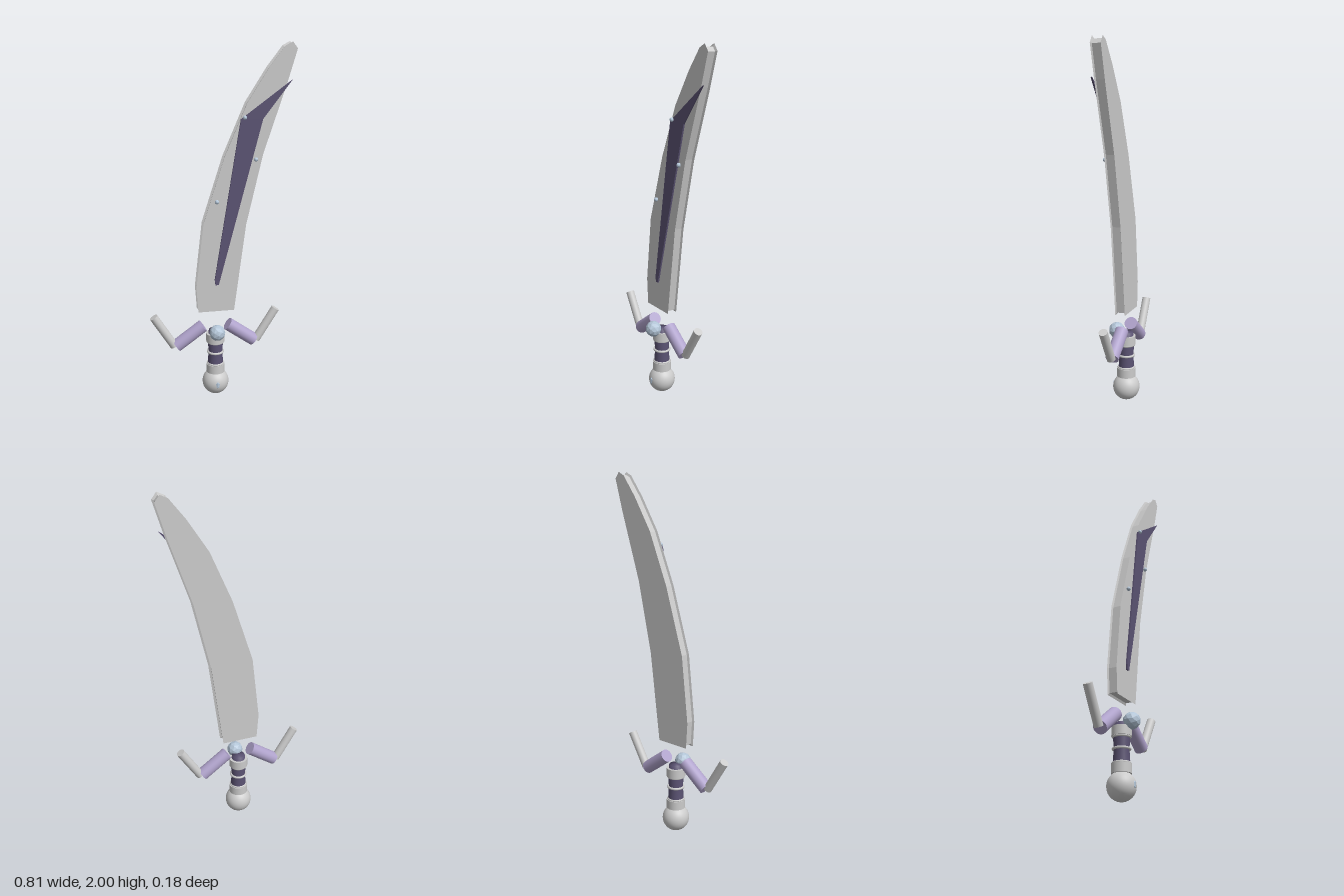
import * as THREE from 'three';

const AX = -0.033, AZ = -0.015; // axis of the hilt

const paint = (color, flatShading = false) => new THREE.MeshStandardMaterial({ color, flatShading });
const grey = paint(0xcccccc);
const dark = paint(0x5b5373);
const lilac = paint(0xb0a3cc);
const crystal = paint(0xb4c6d8, true);

const outline = (pts) => new THREE.Shape(pts.map(([x, y]) => new THREE.Vector2(x, y)));

export function createModel() {
  const model = new THREE.Group();

  const add = (name, geometry, material, x = 0, y = 0, z = 0) => {
    const mesh = new THREE.Mesh(geometry, material);
    mesh.name = name;
    mesh.position.set(x, y, z);
    model.add(mesh);
    return mesh;
  };

  // rod between two points of the plane z = AZ
  const rod = (name, a, b, radius, material) => {
    const dir = new THREE.Vector3(b[0] - a[0], b[1] - a[1], 0);
    const mesh = add(name, new THREE.CylinderGeometry(radius, radius, dir.length(), 24), material,
      (a[0] + b[0]) / 2, (a[1] + b[1]) / 2, AZ);
    mesh.quaternion.setFromUnitVectors(new THREE.Vector3(0, 1, 0), dir.normalize());
  };

  // curved blade whose edge is recessed between the two faces
  const blade = outline([
    [-0.135, 0.525], [0.07, 0.525], [0.135, 1.025], [0.225, 1.415], [0.35, 1.79],
    [0.402, 1.965], [0.375, 2.0], [0.335, 1.98], [0.25, 1.87], [0.135, 1.69],
    [0.013, 1.405], [-0.103, 1.04], [-0.145, 0.67],
  ]);
  add('blade', new THREE.ExtrudeGeometry(blade, {
    depth: 0.046, bevelEnabled: true, bevelThickness: 0.005, bevelSize: -0.012, bevelSegments: 1,
  }), grey, 0, 0, -0.038);

  // dark inlay on the front face
  const inlay = outline([
    [-0.038, 0.685], [-0.02, 0.685], [0.22, 1.605], [0.375, 1.805], [0.1, 1.605], [-0.042, 0.715],
  ]);
  add('inlay', new THREE.ExtrudeGeometry(inlay, { depth: 0.009, bevelEnabled: false }), dark, 0, 0, 0.013);

  // small studs on the blade
  for (const [x, y] of [[0.12, 1.615], [0.183, 1.39], [-0.03, 1.165]])
    add('bladeStud', new THREE.IcosahedronGeometry(0.012, 1), crystal, x, y, 0.025);

  // pommel and its stone
  add('pommel', new THREE.SphereGeometry(0.076, 32, 20), grey, AX, 0.077, AZ);
  add('pommelStone', new THREE.IcosahedronGeometry(0.03, 0), crystal, AX, 0.08, 0.038);

  // waisted grip with collars and rings
  const grip = [[0, 0.14], [0.044, 0.14], [0.044, 0.2], [0.04, 0.265], [0.044, 0.33], [0.038, 0.4], [0, 0.4]];
  add('grip', new THREE.LatheGeometry(grip.map(([r, y]) => new THREE.Vector2(r, y)), 24), dark, AX, 0, AZ);
  for (const y of [0.165, 0.355])
    add('collar', new THREE.CylinderGeometry(0.053, 0.053, 0.05, 32), grey, AX, y, AZ);
  for (const y of [0.193, 0.265, 0.327])
    add('gripRing', new THREE.TorusGeometry(0.043, 0.007, 8, 32).rotateX(Math.PI / 2), grey, AX, y, AZ);

  // guard: a thick arm and an upturned tip on each side
  for (const s of [-1, 1]) {
    rod('guardArm', [AX + s * 0.072, 0.43], [AX + s * 0.226, 0.319], 0.037, lilac);
    rod('guardTip', [AX + s * 0.239, 0.32], [AX + s * 0.353, 0.505], 0.024, grey);
  }

  // faceted stone at the front of the guard
  add('guardStone', new THREE.IcosahedronGeometry(0.046, 1), crystal, AX, 0.405, 0.043);

  return model;
}
